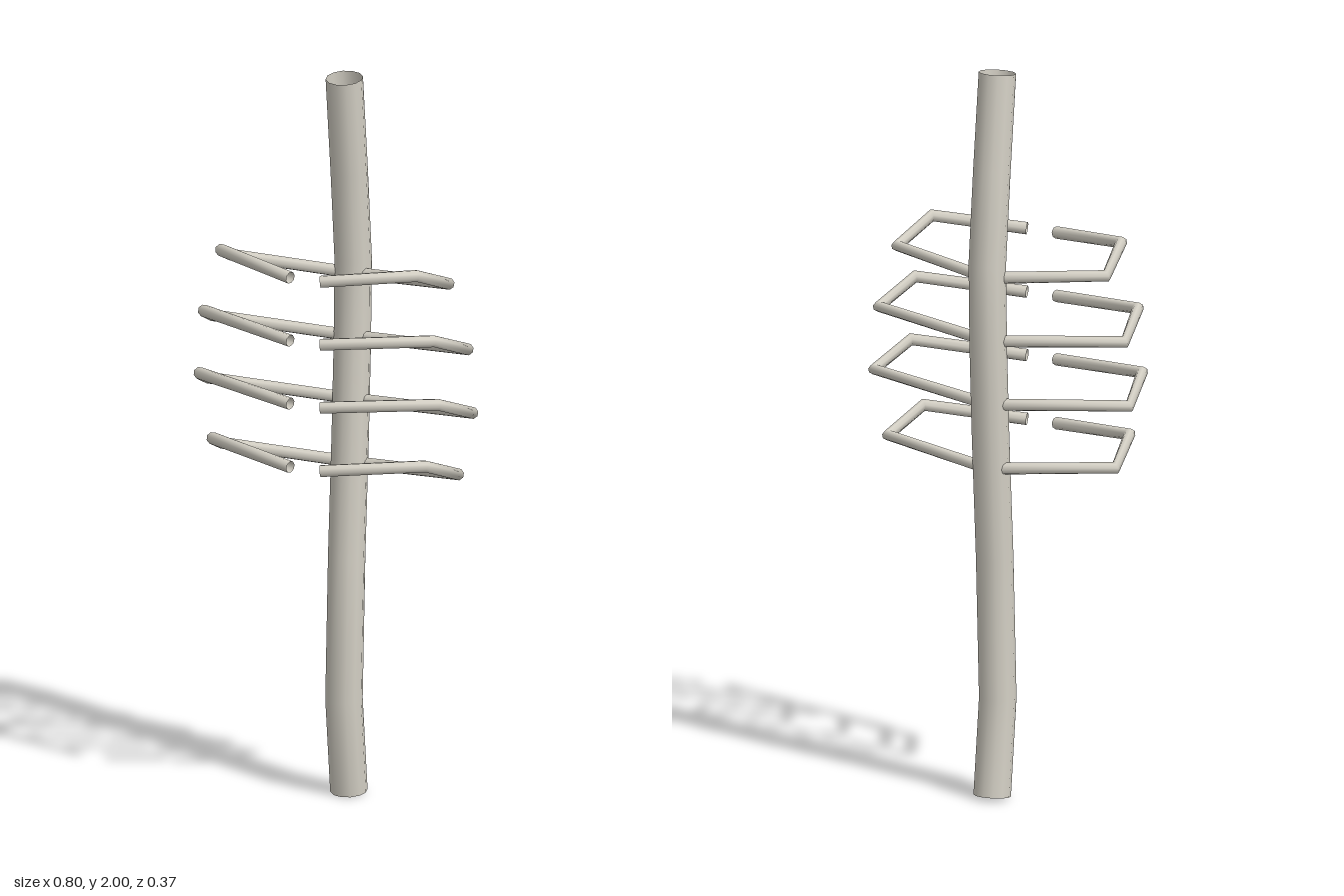
import * as THREE from 'three';

const bone = new THREE.MeshStandardMaterial({ color: 0xd4d0c5, side: THREE.DoubleSide });
bone.name = 'bone';

// Straight runs between points, with rings turned halfway at each bend
class BentPath extends THREE.Curve {
  constructor(points) {
    super();
    this.points = points.map((p) => new THREE.Vector3(...p));
  }
  getPoint(t, target = new THREE.Vector3()) {
    const n = this.points.length - 1;
    const i = Math.min(Math.floor(t * n + 1e-6), n - 1);
    return target.lerpVectors(this.points[i], this.points[i + 1], t * n - i);
  }
  getPointAt(t, target) {
    return this.getPoint(t, target);
  }
  getTangentAt(t, target = new THREE.Vector3()) {
    const p = this.points, n = p.length - 1, i = Math.round(t * n);
    target.set(0, 0, 0);
    if (i > 0) target.add(p[i].clone().sub(p[i - 1]).normalize());
    if (i < n) target.add(p[i + 1].clone().sub(p[i]).normalize());
    return target.normalize();
  }
}

function rod(name, points, radius, sides) {
  const path = new BentPath(points);
  const mesh = new THREE.Mesh(
    new THREE.TubeGeometry(path, points.length - 1, radius, sides, false), bone);
  mesh.name = name;
  return mesh;
}

export function createModel() {
  const model = new THREE.Group();
  model.name = 'spineAndRibs';

  // Gently curved spine, open at both ends
  model.add(rod('spine', [
    [0, 0.007, -0.106], [0, 0.27, -0.075], [0, 0.66, -0.092], [0, 1.0, -0.115],
    [0, 1.25, -0.128], [0, 1.48, -0.133], [0, 1.73, -0.108], [0, 1.994, -0.077],
  ], 0.05, 12));

  // Four pairs of ribs: [height at the spine, half width]
  const ribs = [[0.917, 0.345], [1.093, 0.387], [1.268, 0.373], [1.443, 0.317]];
  ribs.forEach(([y, w], i) => {
    const pair = new THREE.Group();
    pair.name = `ribPair${i + 1}`;
    for (const side of [1, -1]) {
      pair.add(rod(side > 0 ? 'leftRib' : 'rightRib', [
        [side * 0.04, y, -0.118],
        [side * w, y + 0.026, -0.052],
        [side * w * 0.905, y + 0.081, 0.085],
        [side * 0.044, y + 0.057, 0.169],
      ], 0.0165, 8));
    }
    model.add(pair);
  });
  return model;
}
